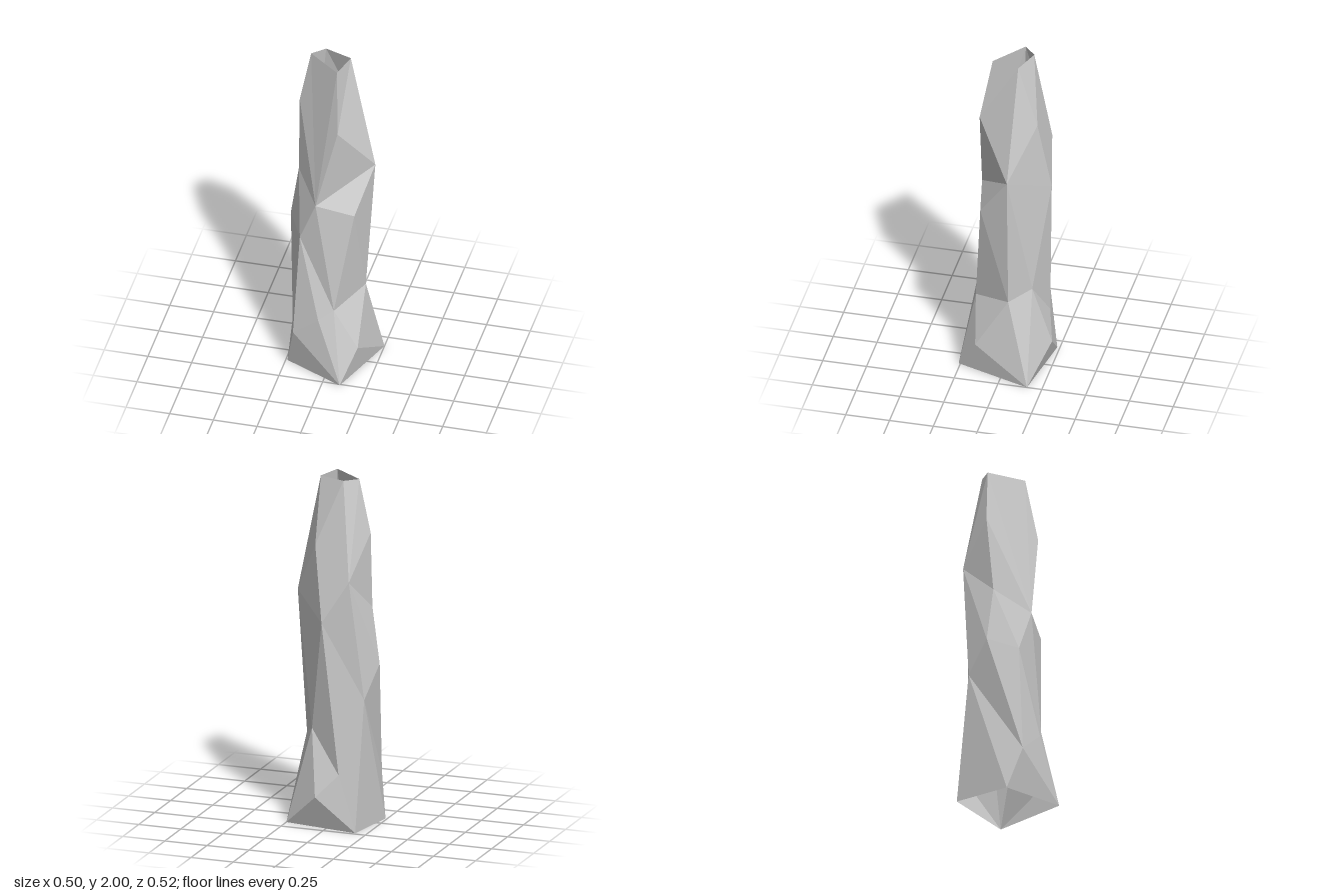
import * as THREE from 'three';

// Corner points of the faceted trunk, [x, y, z], ordered from base to rim
const P = {
  A: [0.10, 0, 0.26], B: [0.25, 0, -0.165], C: [-0.185, 0, -0.235], D: [-0.24, 0, 0.095],
  U: [0.175, 0.19, 0.148], L: [0.045, 0.19, -0.26], E: [-0.19, 0.25, 0.17], P: [-0.08, 0.32, -0.22],
  F: [-0.037, 0.38, 0.205], V: [0.045, 0.44, 0.175], G: [0.175, 0.5, -0.04], O: [0.10, 0.56, -0.16],
  Q: [-0.207, 0.75, -0.153], H: [-0.16, 0.88, 0.133], K: [-0.25, 0.93, -0.023], W: [0.15, 1.07, 0.125],
  S: [-0.062, 1.13, 0.165], M: [0.01, 1.2, -0.25], R: [-0.2, 1.25, -0.005], X: [0.228, 1.32, -0.045],
  N: [-0.14, 1.44, -0.217], Y: [0.06, 1.63, 0.15], I: [0.072, 1.63, -0.183], J: [-0.205, 1.69, -0.045],
  1: [-0.145, 2, -0.065], 2: [-0.075, 2, -0.13], 3: [0.08, 2, -0.075], 4: [0.04, 2, 0.08],
};

// Bands of bark: lower and upper outline, paired point by point around the trunk
const bands = [
  ['BBBAAAADDCCCBB', 'OGUUVFEEQQPLLO'], // flared base
  ['GU', 'VV'], ['PL', 'OO'], // root facets
  ['GGVVVFEEQQQPOOG', 'XWWSHHHKKNMMMXX'], // middle
  ['XW', 'SS'], // ledge facet
  ['XXSSSHKNNNMXX', 'XYYSRRRRNIIIX'], // shoulder
  ['SRN', 'JJJ'], // side facets
  ['XYYSSJNNIIX', '33441112233'], // taper to the open rim
];

function bandTriangles([low, high]) {
  const out = [];
  for (let i = 0; i + 1 < low.length; i++) {
    const a = low[i], b = high[i], c = high[i + 1], d = low[i + 1];
    // skip the half of a quad that collapses to a line
    for (const t of [[a, b, c], [a, c, d]]) if (new Set(t).size === 3) out.push(...t);
  }
  return out;
}

export function createModel() {
  const corners = bands.flatMap(bandTriangles);
  const geometry = new THREE.BufferGeometry();
  geometry.setAttribute('position', new THREE.Float32BufferAttribute(corners.flatMap((k) => P[k]), 3));
  geometry.computeVertexNormals();

  // Hollow shell, open at both ends
  const trunk = new THREE.Mesh(geometry, new THREE.MeshStandardMaterial({
    color: 0xcccccc, flatShading: true, side: THREE.DoubleSide,
  }));
  trunk.name = 'trunk';

  const model = new THREE.Group();
  model.name = 'hollowTrunk';
  model.add(trunk);
  return model;
}
